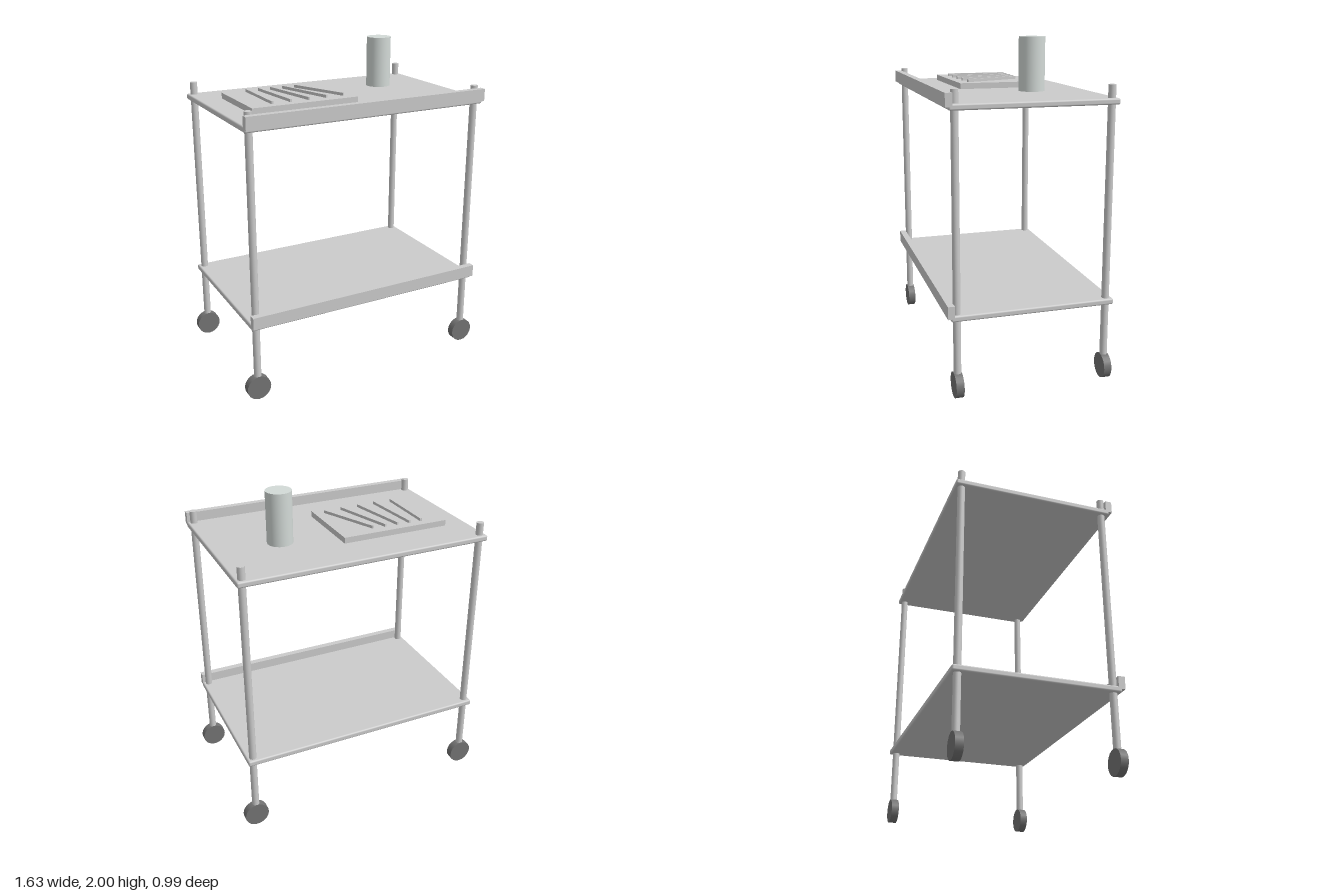
import * as THREE from 'three';
import { RoundedBoxGeometry } from 'three/addons/geometries/RoundedBoxGeometry.js';

const grey = new THREE.MeshStandardMaterial({ color: 0xcccccc });
const dark = new THREE.MeshStandardMaterial({ color: 0x737373 });
const pale = new THREE.MeshStandardMaterial({ color: 0xd3dad7 });

export function createModel() {
  const model = new THREE.Group();
  const add = (parent, name, geometry, material, x, y, z) => {
    const mesh = new THREE.Mesh(geometry, material);
    mesh.name = name;
    mesh.position.set(x, y, z);
    parent.add(mesh);
    return mesh;
  };
  const midZ = -0.01; // centre line of the shelves and posts

  // Two shelves, each with a raised lip along the front edge
  for (const [name, y] of [['lowerShelf', 0.472], ['upperShelf', 1.64]]) {
    const shelf = new THREE.Group();
    shelf.name = name;
    shelf.position.y = y;
    add(shelf, 'shelfBoard', new RoundedBoxGeometry(1.55, 0.035, 0.97, 2, 0.01), grey, 0, 0.0175, midZ);
    add(shelf, 'frontLip', new THREE.BoxGeometry(1.55, 0.075, 0.04), grey, 0, 0.0565, 0.475);
    model.add(shelf);
  }

  // Four corner posts standing on wheels
  const postGeometry = new THREE.CylinderGeometry(0.022, 0.022, 1.67, 16);
  const wheelGeometry = new THREE.CylinderGeometry(0.075, 0.075, 0.046, 20).rotateX(Math.PI / 2);
  for (const sx of [-1, 1]) {
    for (const sz of [-1, 1]) {
      const leg = new THREE.Group();
      leg.name = (sz > 0 ? 'front' : 'back') + (sx > 0 ? 'Left' : 'Right') + 'Leg';
      leg.position.set(sx * 0.738, 0, midZ + sz * 0.447);
      add(leg, 'post', postGeometry, grey, 0, 0.915, 0);
      add(leg, 'wheel', wheelGeometry, dark, 0, 0.08, 0);
      model.add(leg);
    }
  }

  // Flat tray carrying a fan of thin sticks
  add(model, 'tray', new THREE.BoxGeometry(0.675, 0.037, 0.484), grey, -0.293, 1.692, -0.011);
  const stickGeometry = new THREE.BoxGeometry(0.012, 0.018, 0.388);
  for (let i = 0; i < 5; i++) {
    const stick = add(model, 'stick', stickGeometry, grey, -0.487 + i * 0.098, 1.719, -0.011);
    stick.rotation.y = i * 0.1;
  }

  // Upright canister
  add(model, 'canister', new THREE.CylinderGeometry(0.076, 0.076, 0.31, 32), pale, 0.386, 1.845, -0.109);

  return model;
}
